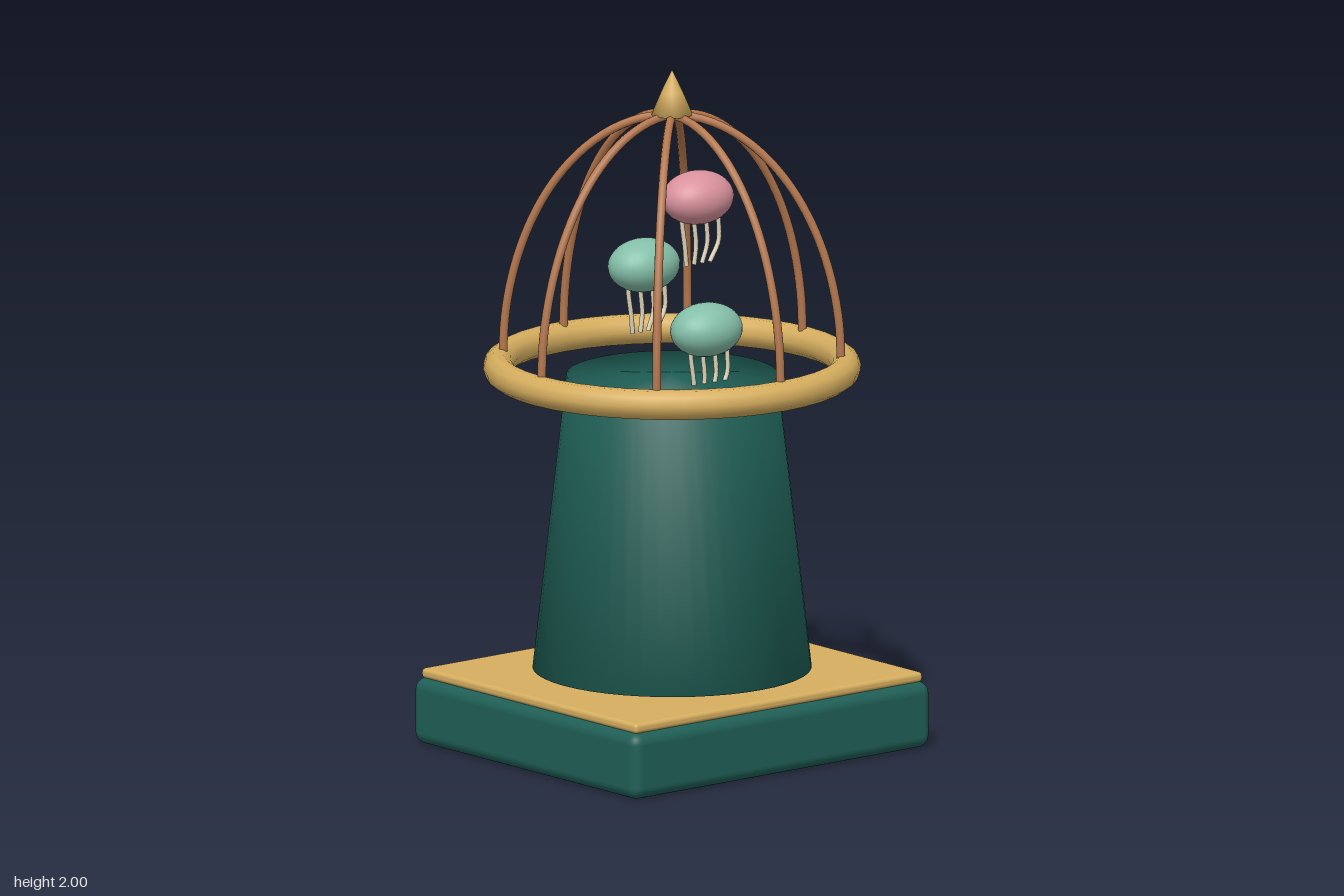
import * as THREE from 'three';
import { RoundedBoxGeometry } from 'three/addons/geometries/RoundedBoxGeometry.js';

const paint = (color, side = THREE.FrontSide) => new THREE.MeshStandardMaterial({ color, side });
const green = paint(0x1f5f56, THREE.DoubleSide);
const gold = paint(0xd6ae5f);
const copper = paint(0xb5784f, THREE.DoubleSide);
const teal = paint(0x84bfa9);
const pink = paint(0xd9929d);
const cream = paint(0xe3d8bc, THREE.DoubleSide);

const v3 = (x, y, z) => new THREE.Vector3(x, y, z);

function add(parent, name, geometry, material, x = 0, y = 0, z = 0) {
  const mesh = new THREE.Mesh(geometry, material);
  mesh.name = name;
  mesh.position.set(x, y, z);
  parent.add(mesh);
  return mesh;
}

const lathe = (points, sides) =>
  new THREE.LatheGeometry(points.map(([r, y]) => new THREE.Vector2(r, y)), sides);

// Jellyfish: squashed bell with a row of curling tentacles
function jellyfish(name, material, x, y, z) {
  const group = new THREE.Group();
  group.name = name;
  group.position.set(x, y, z);
  add(group, 'bell', new THREE.SphereGeometry(1, 32, 20), material).scale.set(0.114, 0.078, 0.09);
  for (let i = 0; i < 4; i++) {
    const top = -0.06 + i * 0.045;
    const curve = new THREE.CatmullRomCurve3([
      v3(top - 0.002, -0.04, 0),
      v3(top + 0.004, -0.09, 0),
      v3(top + 0.012 - i * 0.003, -0.14, 0),
      v3(-0.042 + i * 0.029, -0.197, 0),
    ]);
    add(group, 'tentacle', new THREE.TubeGeometry(curve, 14, 0.007, 6), cream);
  }
  return group;
}

export function createModel() {
  const model = new THREE.Group();
  model.name = 'jellyfishCage';

  // Plinth with a thin gold plate
  add(model, 'base', new RoundedBoxGeometry(1.12, 0.195, 1.01, 4, 0.035), green, 0, 0.1, 0);
  add(model, 'basePlate', new RoundedBoxGeometry(1.08, 0.03, 0.97, 3, 0.012), gold, 0, 0.21, 0);

  // Tapered pedestal with softly shaded rims
  add(model, 'pedestal', lathe([[0, 0.235], [0.403, 0.235], [0.305, 1.1], [0, 1.1]], 48), green);

  // Ring carrying the cage
  add(model, 'cageRing', new THREE.TorusGeometry(0.502, 0.044, 10, 40), gold, 0, 1.122, 0)
    .rotation.x = Math.PI / 2;

  // Eight bars, each a quarter ellipse from ring to crown
  const arc = [];
  for (let i = 0; i <= 10; i++) {
    const a = (i / 10) * Math.PI / 2;
    arc.push(v3(0.49 * Math.cos(a), 1.145 + 0.722 * Math.sin(a), 0));
  }
  const barGeometry = new THREE.TubeGeometry(new THREE.CatmullRomCurve3(arc), 32, 0.0125, 8);
  for (let i = 0; i < 8; i++) {
    add(model, 'cageBar', barGeometry, copper).rotation.y = i * Math.PI / 4;
  }

  // Finial
  add(model, 'finial', lathe([[0, 1.868], [0.06, 1.868], [0.031, 1.935], [0, 2]], 24), gold);

  model.add(
    jellyfish('pinkJellyfish', pink, 0.168, 1.583, -0.086),
    jellyfish('leftTealJellyfish', teal, -0.197, 1.47, 0.11),
    jellyfish('lowTealJellyfish', teal, 0, 1.258, 0.155),
  );
  return model;
}
